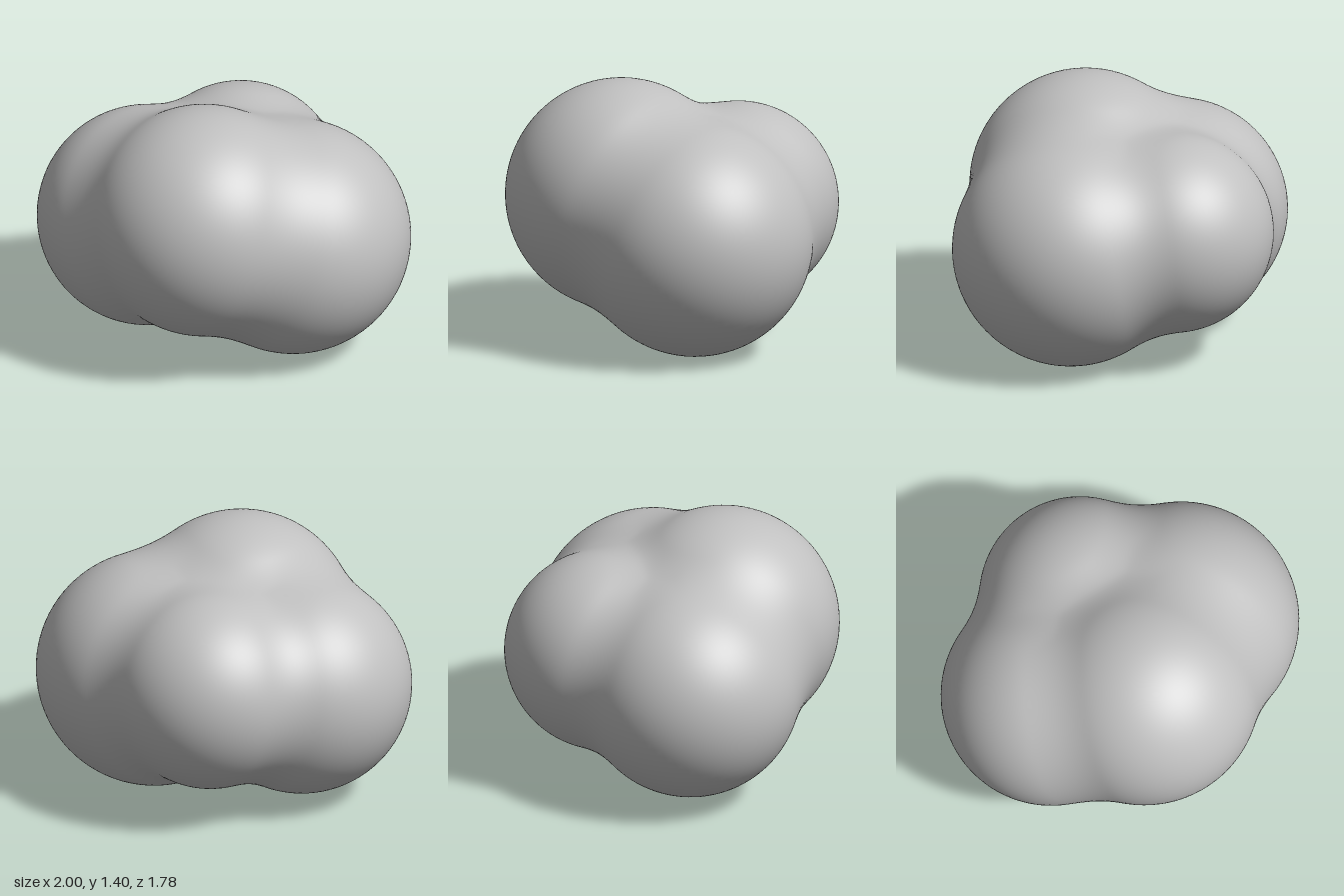
import * as THREE from 'three';
import { mergeVertices } from 'three/addons/utils/BufferGeometryUtils.js';

// Overlapping round lobes: centre and radius
const lobes = [
  { c: new THREE.Vector3(0.38, 0.62, 0), r: 0.62 },
  { c: new THREE.Vector3(-0.42, 0.62, 0), r: 0.58 },
  { c: new THREE.Vector3(-0.02, 0.79, 0.28), r: 0.61 },
  { c: new THREE.Vector3(-0.02, 0.7, -0.36), r: 0.53 },
];
const core = new THREE.Vector3(-0.02, 0.66, 0); // lies inside every lobe
const BLEND = 0.15;

// Distance from the core to where a ray leaves a lobe
function exitDistance(dir, { c, r }) {
  const toCentre = c.clone().sub(core);
  const along = toCentre.dot(dir);
  return along + Math.sqrt(along * along - toCentre.lengthSq() + r * r);
}

// Maximum with a soft fillet where two lobes meet
function smoothMax(a, b) {
  const h = Math.max(BLEND - Math.abs(a - b), 0);
  return Math.max(a, b) + (h * h) / (4 * BLEND);
}

export function createModel() {
  const group = new THREE.Group();
  group.name = 'cloud';
  const cloudGrey = new THREE.MeshStandardMaterial({ color: 0xc0c0c0 });
  cloudGrey.name = 'cloudGrey';

  // Push a fine sphere out to the blended lobe surface
  let geometry = new THREE.IcosahedronGeometry(1, 28);
  geometry.deleteAttribute('normal');
  geometry.deleteAttribute('uv');
  geometry = mergeVertices(geometry, 1e-4);
  const pos = geometry.attributes.position;
  const dir = new THREE.Vector3();
  for (let i = 0; i < pos.count; i++) {
    dir.fromBufferAttribute(pos, i).normalize();
    const radius = lobes.map((lobe) => exitDistance(dir, lobe)).sort((a, b) => a - b).reduce(smoothMax);
    dir.multiplyScalar(radius).add(core);
    pos.setXYZ(i, dir.x, dir.y, dir.z);
  }
  geometry.computeVertexNormals();

  const body = new THREE.Mesh(geometry, cloudGrey);
  body.name = 'cloudBody';
  group.add(body);
  return group;
}
